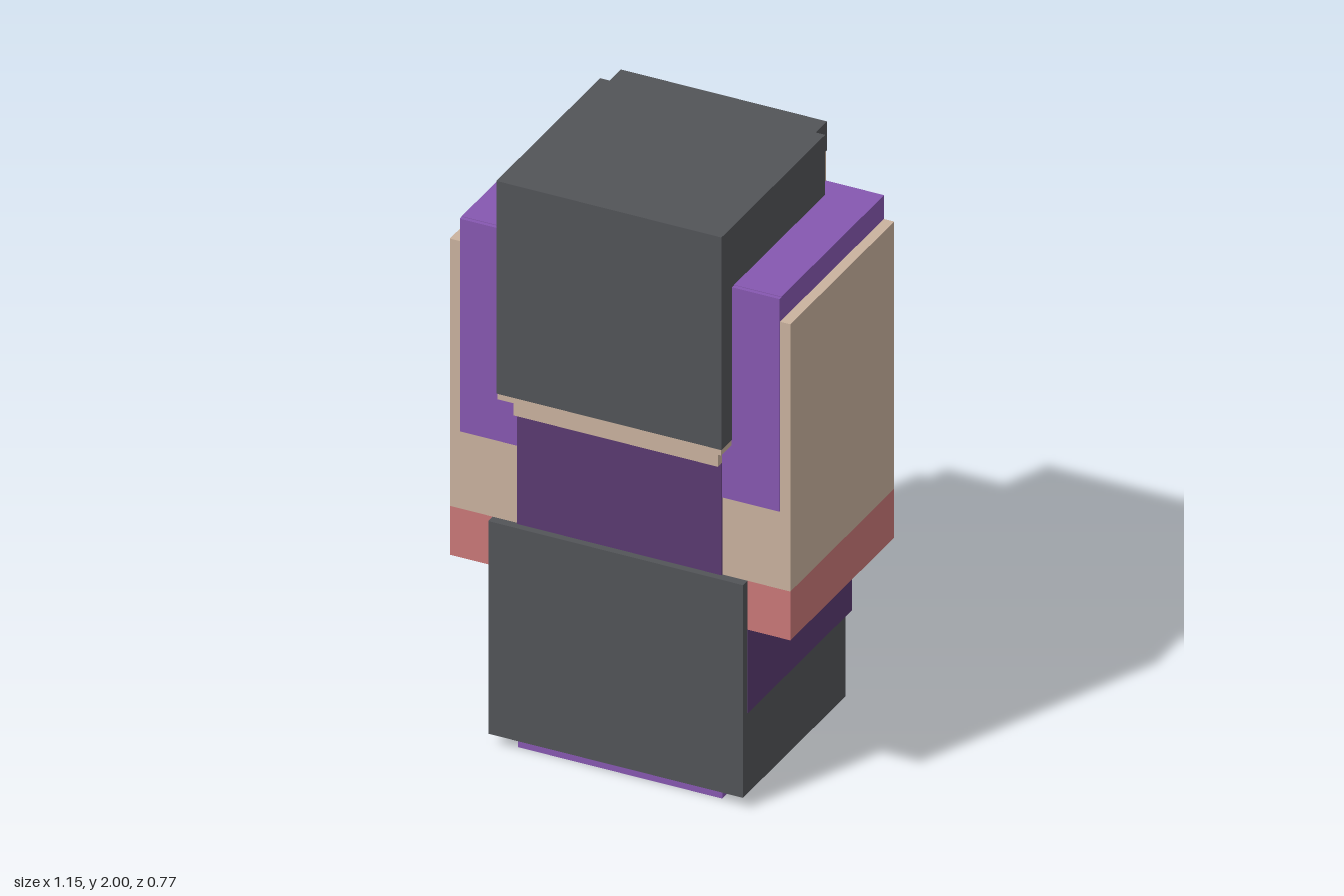
import * as THREE from 'three';

const flat = (name, color) => {
  const m = new THREE.MeshStandardMaterial({ color });
  m.name = name;
  return m;
};

export function createModel() {
  const grey = flat('charcoal', 0x525458);
  const purple = flat('light purple', 0x8658b0);
  const plum = flat('dark purple', 0x5a3a71);
  const tan = flat('tan', 0xcab29e);
  const red = flat('dusty red', 0xca7878);

  const model = new THREE.Group();
  model.name = 'blockFigure';

  // Adds a box given its lower and upper corners
  const block = (name, mat, [x0, y0, z0], [x1, y1, z1]) => {
    const mesh = new THREE.Mesh(new THREE.BoxGeometry(x1 - x0, y1 - y0, z1 - z0), mat);
    mesh.position.set((x0 + x1) / 2, (y0 + y1) / 2, (z0 + z1) / 2);
    mesh.name = name;
    model.add(mesh);
  };

  // Feet and legs
  block('feet', purple, [-0.345, 0, -0.385], [0.345, 0.4, 0.31]);
  block('legWrap', grey, [-0.43, 0.04, -0.345], [0.43, 0.78, 0.34]);
  block('hips', plum, [-0.432, 0.32, -0.386], [0.432, 0.62, 0.31]);

  // Hands and arms
  block('hands', red, [-0.575, 0.61, -0.385], [0.575, 0.78, 0.31]);
  block('arms', tan, [-0.575, 0.78, -0.385], [0.575, 1.71, 0.31]);

  // Shirt with its collar band
  block('shirt', purple, [-0.54, 1.05, -0.38], [0.54, 1.79, 0.313]);
  block('collarBand', purple, [-0.54, 1.71, -0.387], [0.54, 1.792, 0.3]);
  block('shirtBackPanel', purple, [-0.54, 1.05, -0.387], [-0.115, 1.71, -0.38]);

  // Dark waist panels
  block('waistFrontPanel', plum, [-0.345, 0.77, 0.308], [0.345, 1.18, 0.316]);
  block('waistBackPanel', plum, [-0.43, 0.6, -0.389], [-0.115, 1.37, -0.381]);

  // Head, jaw and hair
  block('head', tan, [-0.345, 1.17, -0.385], [0.345, 1.9, 0.34]);
  block('jaw', tan, [-0.378, 1.24, -0.308], [0.378, 1.26, 0.383]);
  block('hair', grey, [-0.38, 1.26, -0.31], [0.38, 2, 0.385]);
  block('hairBack', grey, [-0.348, 1.9, -0.385], [0.348, 2, -0.31]);

  return model;
}
